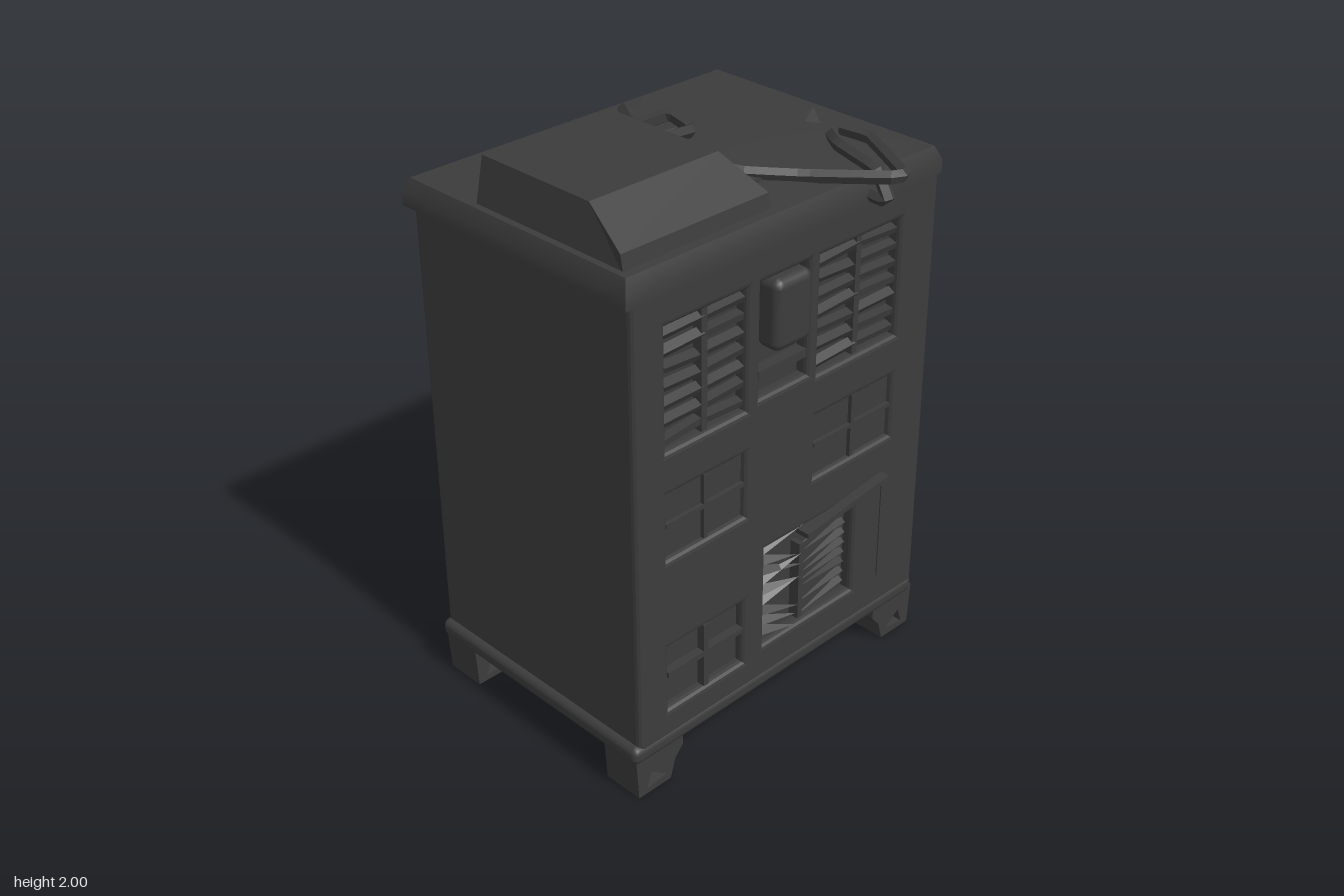
import * as THREE from 'three';
import { RoundedBoxGeometry } from 'three/addons/geometries/RoundedBoxGeometry.js';

const charcoal = new THREE.MeshStandardMaterial({ color: 0x3c3c3c, side: THREE.DoubleSide });
charcoal.name = 'charcoal';

let seed = 7;
const rnd = (a, b) => {
  seed = (seed * 16807) % 2147483647;
  return a + (b - a) * seed / 2147483647;
};

function add(parent, name, geo, x = 0, y = 0, z = 0) {
  const m = new THREE.Mesh(geo, charcoal);
  m.name = name;
  m.position.set(x, y, z);
  parent.add(m);
  return m;
}

// Box given by its limits, optionally rounded
function box(parent, name, x0, x1, y0, y1, z0, z1, r = 0) {
  const w = x1 - x0, h = y1 - y0, d = z1 - z0;
  const geo = r ? new RoundedBoxGeometry(w, h, d, 2, r) : new THREE.BoxGeometry(w, h, d);
  return add(parent, name, geo, (x0 + x1) / 2, (y0 + y1) / 2, (z0 + z1) / 2);
}

const poly = pts => pts.map(p => new THREE.Vector2(...p));
const rect = (x0, x1, y0, y1) => poly([[x0, y0], [x1, y0], [x1, y1], [x0, y1]]);

// Wall plate with soft edges and openings; spans z = 0 .. 0.06
function wallGeo(outline, holes) {
  const shape = new THREE.Shape(outline);
  shape.holes = holes.map(h => new THREE.Path(h));
  const geo = new THREE.ExtrudeGeometry(shape, {
    depth: 0.02, bevelThickness: 0.02, bevelSize: 0.02, bevelOffset: -0.02, bevelSegments: 3
  });
  return geo.translate(0, 0, 0.02);
}

// Bent pipe with crisp corners
function pipe(parent, name, pts, r, sides = 5) {
  const curve = new THREE.CatmullRomCurve3(pts.map(p => new THREE.Vector3(...p)), false, 'catmullrom', 0.1);
  const geo = new THREE.TubeGeometry(curve, pts.length * 4, r, sides).toNonIndexed();
  geo.computeVertexNormals();
  return add(parent, name, geo);
}

// Thin three-sided splinter between two points
function shard(parent, name, a, b, r) {
  const A = new THREE.Vector3(...a), dir = new THREE.Vector3(...b).sub(A);
  const geo = new THREE.ConeGeometry(r, dir.length(), 3).toNonIndexed();
  geo.computeVertexNormals();
  const m = add(parent, name, geo);
  m.position.copy(A).addScaledVector(dir, 0.5);
  m.quaternion.setFromUnitVectors(new THREE.Vector3(0, 1, 0), dir.normalize());
}

// Front and back share a layout; s = -1 flips x for the wall that is turned round
function facade(name, s) {
  const g = new THREE.Group();
  g.name = name;
  const X = (a, b) => s > 0 ? [a, b] : [-b, -a];
  const tall = [X(-0.57, -0.24), X(0.08, 0.45)];
  const centre = X(-0.18, 0.03), door = X(-0.14, 0.29), low = X(-0.57, -0.24);
  const openings = [
    ...tall.map(w => rect(...w, 1.24, 1.65)), ...tall.map(w => rect(...w, 0.86, 1.09)),
    rect(...centre, 1.26, 1.65), rect(...door, 0.31, 0.69), rect(...low, 0.29, 0.53)
  ];
  add(g, 'facadeWall', wallGeo(rect(...X(-0.695, 0.62), 0.16, 1.82), openings));

  for (const [a, b] of tall) {
    const m = (a + b) / 2;
    // Broken slats in the upper windows
    box(g, 'upperMullion', m - 0.012, m + 0.012, 1.24, 1.65, 0.0, 0.045);
    for (let i = 0; i < 7; i++) {
      const y = 1.27 + i * 0.058;
      for (const [p, q] of [[a, m], [m, b]]) {
        const slat = box(g, 'upperSlat', p, q, y - 0.012, y + 0.012, 0.012, 0.042);
        slat.rotation.set(rnd(0.1, 0.6), 0, rnd(-0.12, 0.12));
      }
    }
    // Shallow middle windows
    box(g, 'middlePane', a - 0.01, b + 0.01, 0.85, 1.10, 0.0, 0.038);
    box(g, 'middleMullion', m - 0.008, m + 0.008, 0.86, 1.09, 0.03, 0.052);
    box(g, 'middleTransom', a, b, 0.97, 0.985, 0.03, 0.052);
  }

  // Centre panel that stands out of its frame
  box(g, 'centrePanel', ...X(-0.15, 0.01), 1.41, 1.65, 0.0, 0.095, 0.03);
  box(g, 'centreSill', ...X(-0.18, 0.03), 1.32, 1.35, 0.0, 0.05);

  // Lower window
  box(g, 'lowerPane', low[0] - 0.01, low[1] + 0.01, 0.28, 0.54, 0.0, 0.025);
  box(g, 'lowerMullion', ...X(-0.415, -0.395), 0.29, 0.53, 0.02, 0.055);
  box(g, 'lowerTransom', ...low, 0.41, 0.43, 0.02, 0.055);

  // Doorway full of splinters, with a bent canopy over it
  for (let i = 0; i < 9; i++) {
    const y = 0.34 + i * 0.04, x = s * rnd(-0.02, 0.05);
    shard(g, 'doorSplinter', [s * -0.13, y, 0.02], [x, y + rnd(-0.06, 0.06), 0.06], 0.022);
    shard(g, 'doorSplinter', [s * 0.28, y, 0.012], [x + s * 0.02, y + rnd(-0.03, 0.03), 0.045], 0.016);
  }
  box(g, 'doorPost', ...X(0.03, 0.05), 0.32, 0.62, 0.0, 0.05);
  const canopy = box(g, 'doorCanopy', ...X(0.02, 0.42), 0.69, 0.71, 0.04, 0.095);
  canopy.rotation.z = s * 0.12;
  box(g, 'doorJamb', ...X(0.42, 0.435), 0.3, 0.72, 0.05, 0.064);
  return g;
}

export function createModel() {
  const model = new THREE.Group();

  // Body
  box(model, 'bodyCore', -0.65, 0.57, 0.15, 1.8, -0.48, 0.39);
  const front = facade('frontFacade', 1);
  front.position.z = 0.38;
  const back = facade('backFacade', -1);
  back.position.z = -0.47;
  back.rotation.y = Math.PI;
  model.add(front, back);

  // Side walls; the left one has a round vent
  const vent = [];
  for (let i = 0; i < 16; i++) {
    const t = i / 16 * Math.PI * 2, r = i % 2 ? 0.185 : 0.215;
    vent.push(new THREE.Vector2(-0.01 + r * Math.cos(t), 0.56 + r * Math.sin(t)));
  }
  const left = add(model, 'leftWall', wallGeo(rect(-0.44, 0.53, 0.16, 1.82), [vent.map(p => new THREE.Vector2(-p.x, p.y))]), 0.565);
  left.rotation.y = Math.PI / 2;
  const right = add(model, 'rightWall', wallGeo(rect(-0.53, 0.44, 0.16, 1.82), []), -0.64);
  right.rotation.y = -Math.PI / 2;

  // Bent fan blades and a torn rim
  for (let i = 0; i < 12; i++) {
    const t = i / 12 * Math.PI * 2, c = Math.cos(t), n = Math.sin(t), q = rnd(0.03, 0.1);
    shard(model, 'ventBlade', [0.58, 0.56 + n * 0.2, -0.01 + c * 0.2], [0.59, 0.56 + n * q, -0.01 + c * q], 0.035);
    if (c < 0.6) shard(model, 'ventRim', [0.61, 0.56 + n * 0.18, -0.01 + c * 0.18], [0.65, 0.56 + n * 0.23, -0.01 + c * 0.23], 0.035);
  }
  // Hose beside the vent
  pipe(model, 'ventHose', [[0.60, 0.78, -0.06], [0.645, 0.72, -0.16], [0.66, 0.62, -0.22],
    [0.685, 0.54, -0.26], [0.68, 0.4, -0.29], [0.665, 0.28, -0.3], [0.6, 0.19, -0.31]], 0.04, 7);

  // Base ledge
  box(model, 'baseLedge', -0.725, 0.625, 0.14, 0.205, -0.535, 0.445, 0.025);

  // Feet: tapered brackets with a triangular opening, closed at the inner end
  for (const sx of [-1, 1]) {
    for (const sz of [-1, 1]) {
      const foot = new THREE.Shape(poly([[-0.085, 0], [0.055, 0], [0.075, 0.07], [0.11, 0.11], [0.11, 0.16], [-0.095, 0.16]]));
      foot.holes.push(new THREE.Path(poly([[-0.05, 0.02], [0.035, 0.03], [-0.03, 0.08]])));
      const pts = foot.extractPoints(1);
      const shape = new THREE.Shape(pts.shape.map(p => new THREE.Vector2(-sx * p.x, p.y)));
      shape.holes = pts.holes.map(h => new THREE.Path(h.map(p => new THREE.Vector2(-sx * p.x, p.y))));
      const geo = new THREE.ExtrudeGeometry(shape, { depth: 0.15, bevelEnabled: false });
      add(model, 'foot', geo, sx < 0 ? -0.62 : 0.535, 0, sz > 0 ? 0.285 : -0.52);
    }
  }

  // Roof slab, its top edges drawn in and its middle slightly raised
  const roofGeo = new THREE.BoxGeometry(1.35, 0.09, 0.99, 12, 2, 10);
  const p = roofGeo.attributes.position;
  for (let i = 0; i < p.count; i++) {
    if (p.getY(i) < 0.04) continue;
    const x = p.getX(i), z = p.getZ(i);
    p.setXYZ(i, x * 0.97, 0.045 + 0.02 * (1 - (x / 0.675) ** 2) * (1 - (z / 0.495) ** 2), z * 0.96);
  }
  roofGeo.computeVertexNormals();
  add(model, 'roof', roofGeo, -0.055, 1.805, -0.045);

  // Roof hut with a sloping front
  const hutGeo = new THREE.ExtrudeGeometry(
    new THREE.Shape(poly([[0.40, 1.84], [0.39, 1.9], [0.24, 2], [-0.22, 2], [-0.23, 1.84]])),
    { depth: 0.58, bevelEnabled: false }
  ).rotateY(-Math.PI / 2).translate(-0.11, 0, 0);
  const h = hutGeo.attributes.position;
  for (let i = 0; i < h.count; i++) {
    if (h.getY(i) > 1.95) h.setX(i, h.getX(i) + (h.getX(i) > -0.4 ? -0.055 : 0.025));
  }
  hutGeo.computeVertexNormals();
  add(model, 'roofHut', hutGeo);
  box(model, 'hutHatch', -0.63, -0.56, 1.985, 1.999, -0.12, 0.16);

  // Twisted roof pipes
  pipe(model, 'rearRoofPipe', [[0.09, 1.87, -0.44], [-0.04, 1.9, -0.25], [0.04, 1.94, -0.17],
    [0.02, 1.93, -0.05], [-0.12, 1.95, -0.03]], 0.022);
  pipe(model, 'frontRoofPipe', [[-0.11, 1.9, 0.03], [-0.03, 1.88, 0.2], [0.1, 1.87, 0.33],
    [0.27, 1.88, 0.55], [0.33, 1.87, 0.53], [0.47, 1.87, 0.28], [0.46, 1.87, 0.17]], 0.022);
  pipe(model, 'hangingRoofPipe', [[0.4, 1.87, 0.18], [0.32, 1.89, 0.28], [0.29, 1.87, 0.46],
    [0.28, 1.79, 0.52], [0.28, 1.79, 0.45]], 0.022);
  const flap = box(model, 'roofFlap', -0.12, 0.0, 1.87, 1.885, 0.06, 0.26);
  flap.rotation.z = -0.25;
  shard(model, 'roofStub', [0.47, 1.84, 0.04], [0.48, 1.9, 0.03], 0.04);
  shard(model, 'roofStub', [-0.12, 1.86, -0.2], [0.0, 1.93, -0.1], 0.03);
  return model;
}
